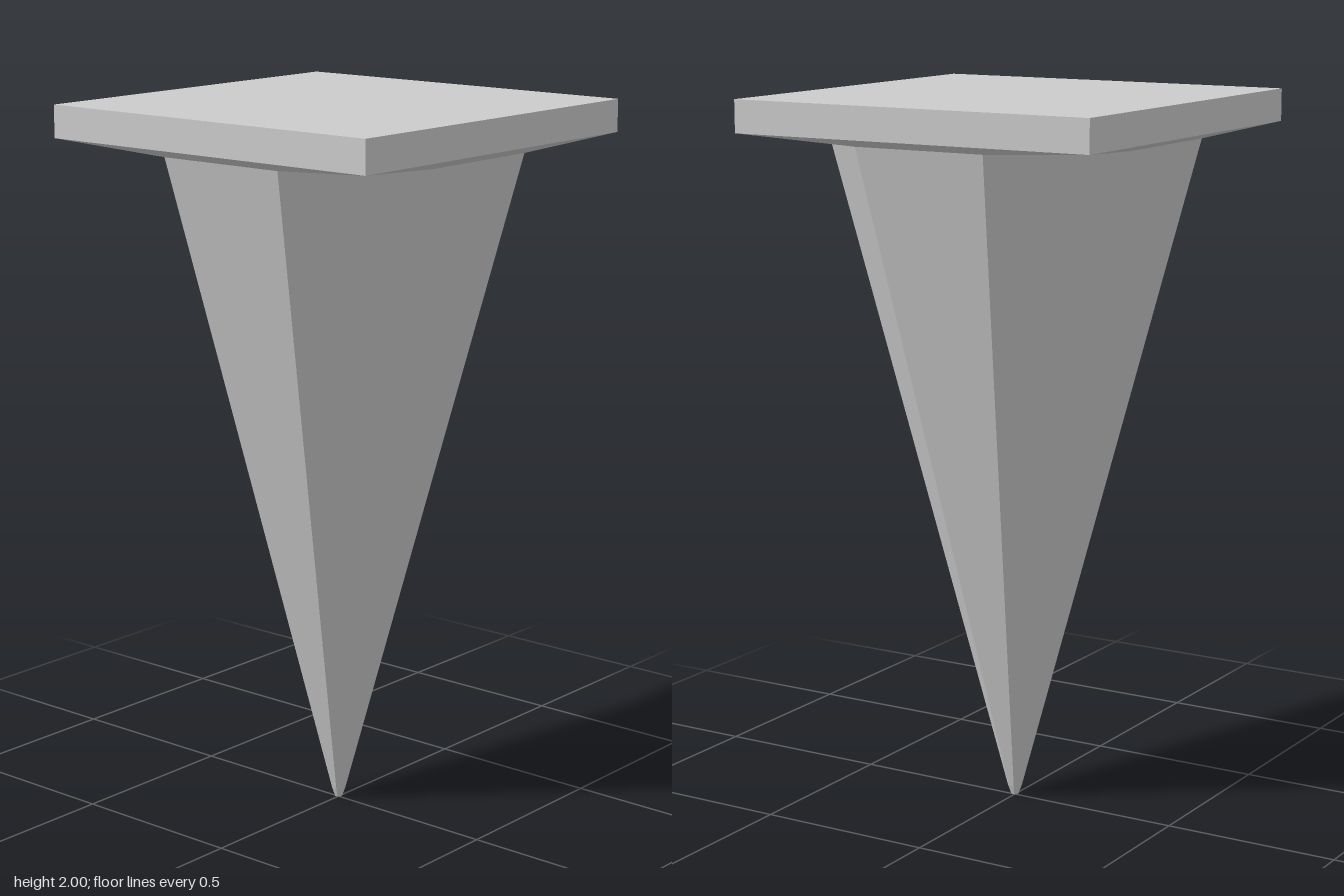
import * as THREE from 'three';

const material = new THREE.MeshStandardMaterial({ color: 0xcccccc, flatShading: true });

// Octagon with flats facing the axes; apothem a, height y, centre offset c on x and z
function octagon(a, y, c = 0) {
  const r = a / Math.cos(Math.PI / 8);
  return Array.from({ length: 8 }, (_, i) => {
    const t = Math.PI / 8 + (i * Math.PI) / 4;
    return new THREE.Vector3(c + r * Math.cos(t), y, c + r * Math.sin(t));
  });
}

// Square as eight points, each corner counted twice so it lofts onto an octagon
function square(h, y) {
  return octagon(1, y).map(p => new THREE.Vector3(h * Math.sign(p.x), y, h * Math.sign(p.z)));
}

// Skin between rings listed from bottom to top
function loft(rings) {
  const pos = [];
  const tri = (a, b, c) => {
    if (a.distanceTo(b) < 1e-6 || b.distanceTo(c) < 1e-6 || c.distanceTo(a) < 1e-6) return;
    for (const p of [a, b, c]) pos.push(p.x, p.y, p.z);
  };
  for (let k = 0; k + 1 < rings.length; k++) {
    const lo = rings[k], hi = rings[k + 1];
    for (let i = 0; i < 8; i++) {
      const j = (i + 1) % 8;
      tri(lo[j], lo[i], hi[i]);
      tri(lo[j], hi[i], hi[j]);
    }
  }
  const g = new THREE.BufferGeometry();
  g.setAttribute('position', new THREE.Float32BufferAttribute(pos, 3));
  g.computeVertexNormals();
  return g;
}

export function createModel() {
  const group = new THREE.Group();
  const add = (name, geometry) => {
    const mesh = new THREE.Mesh(geometry, material);
    mesh.name = name;
    group.add(mesh);
    return mesh;
  };

  // Square slab on top
  add('topPlate', new THREE.BoxGeometry(1.08, 0.09, 1.08)).position.y = 1.955;

  // Shallow underside running from the slab's edges in to the spike
  const neck = octagon(0.475, 1.885, 0.012);
  add('collar', loft([neck, square(0.54, 1.91)]));

  // Eight-sided spike with a blunted tip
  add('spike', loft([octagon(0, 0), octagon(0.01, 0.003), octagon(0.019, 0.03), neck]));

  return group;
}
